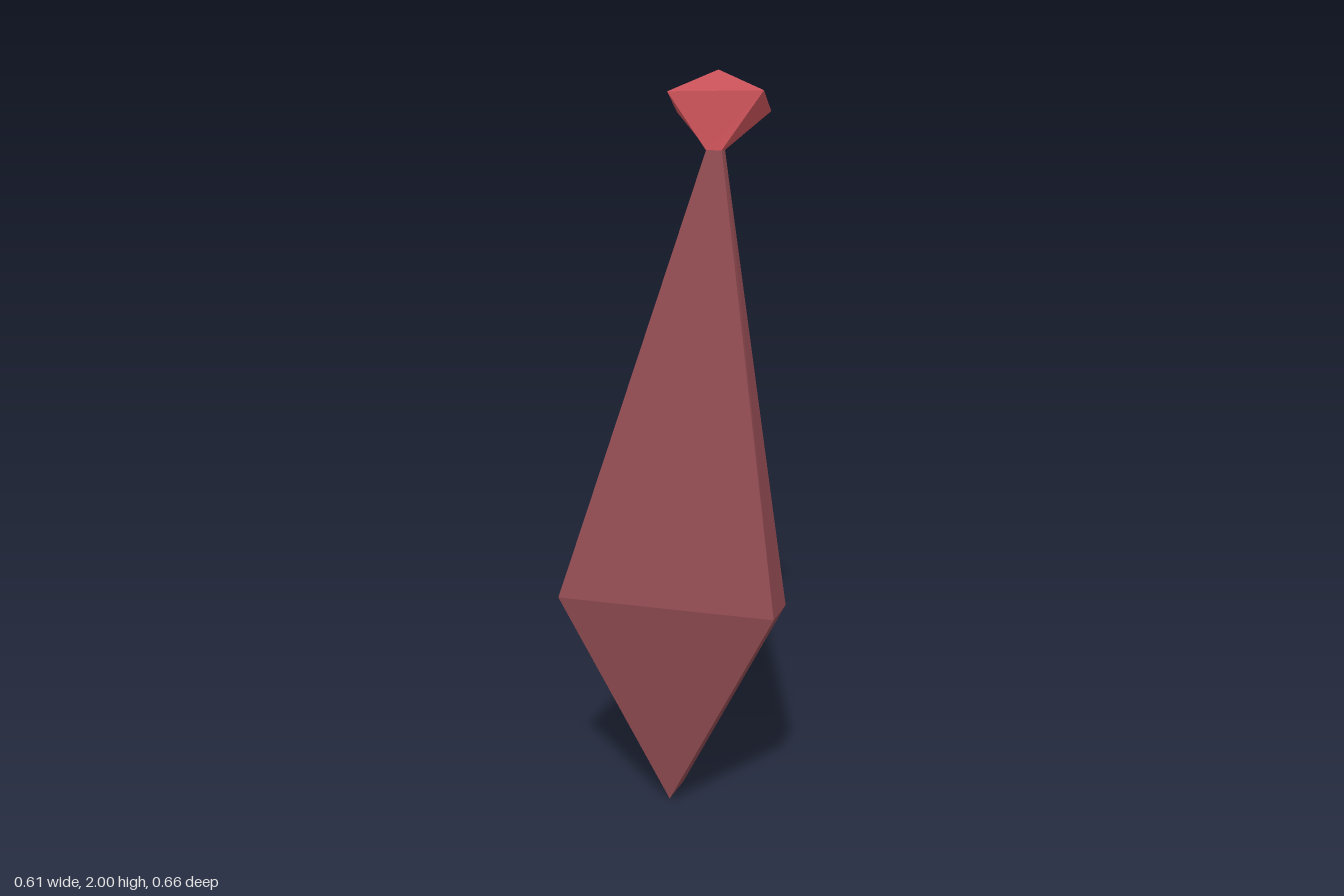
import * as THREE from 'three';

// Open-backed shell: a front panel plus strips running back from its outline.
// Outlines run counter-clockwise seen from the front.
function shell(name, front, back, panel, openEdge, material) {
  const pos = [];
  const tri = (...pts) => pts.forEach((p) => pos.push(...p));
  panel.forEach((t) => tri(...t.map((i) => front[i])));
  front.forEach((f, i) => {
    if (i === openEdge) return;
    const j = (i + 1) % front.length;
    tri(f, back[i], back[j]);
    tri(f, back[j], front[j]);
  });
  const geometry = new THREE.BufferGeometry();
  geometry.setAttribute('position', new THREE.Float32BufferAttribute(pos, 3));
  geometry.computeVertexNormals();
  const mesh = new THREE.Mesh(geometry, material);
  mesh.name = name;
  return mesh;
}

export function createModel() {
  const group = new THREE.Group();
  group.name = 'necktie';

  const bladeRed = new THREE.MeshStandardMaterial({ color: 0x8b484e, side: THREE.DoubleSide, flatShading: true });
  bladeRed.name = 'dull red';
  const knotRed = new THREE.MeshStandardMaterial({ color: 0xcc535a, side: THREE.DoubleSide, flatShading: true });
  knotRed.name = 'bright red';

  // Long blade: tip, left corner, neck, right corner
  group.add(shell('blade',
    [[0, 0.005, 0.285], [0.305, 0.58, 0.32], [0.023, 1.78, -0.133], [-0.023, 1.78, -0.133], [-0.305, 0.585, 0.332]],
    [[0, 0, 0.16], [0.305, 0.58, 0.192], [0.026, 1.78, -0.155], [-0.026, 1.78, -0.155], [-0.305, 0.585, 0.206]],
    [[0, 1, 4], [1, 2, 3], [1, 3, 4]], 2, bladeRed));

  // Knot: neck, left shoulder, peak, right shoulder
  group.add(shell('knot',
    [[-0.023, 1.78, -0.131], [0.023, 1.78, -0.131], [0.139, 1.945, -0.15], [0, 2, -0.176], [-0.139, 1.94, -0.138]],
    [[-0.026, 1.78, -0.155], [0.026, 1.78, -0.155], [0.137, 1.885, -0.238], [-0.006, 1.97, -0.333], [-0.141, 1.88, -0.232]],
    [[0, 1, 2], [0, 2, 4], [4, 2, 3]], 0, knotRed));

  return group;
}
